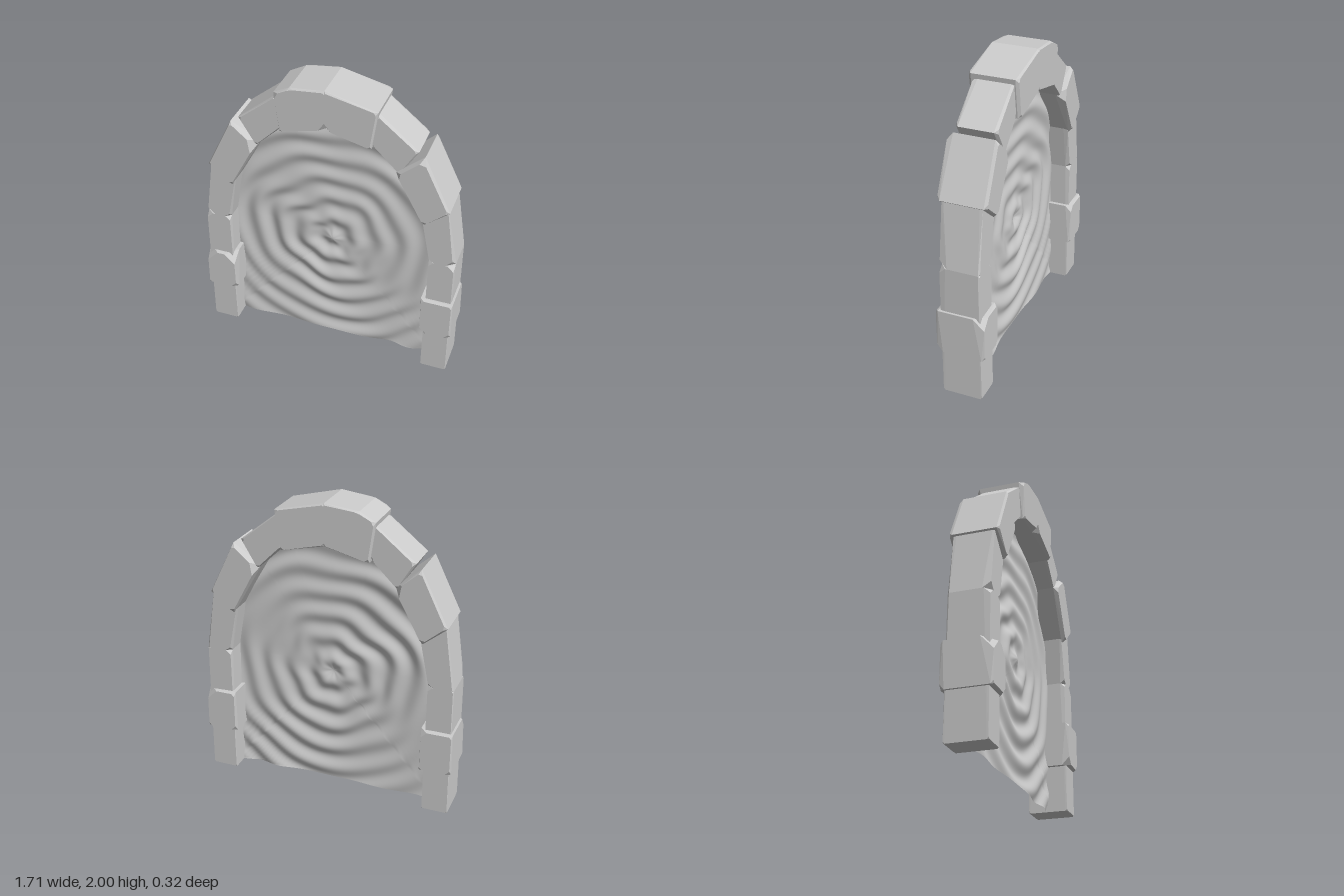
import * as THREE from 'three';
import { ConvexGeometry } from 'three/addons/geometries/ConvexGeometry.js';

const stoneMaterial = new THREE.MeshStandardMaterial({ color: 0xcccccc, flatShading: true });
const surfaceMaterial = new THREE.MeshStandardMaterial({ color: 0xcccccc, side: THREE.DoubleSide });

// Hewn stone: an outline given depth, bevelled towards a centre, each corner chipped off
// front and back are chip sizes per corner
function stone(name, outline, depth, { front = [], back = [], bevel = 0.01, centre } = {}) {
  const corners = outline.map(([x, y]) => new THREE.Vector2(x, y));
  const n = corners.length;
  const mid = centre ? new THREE.Vector2(...centre)
    : corners.reduce((sum, p) => sum.add(p), new THREE.Vector2()).divideScalar(n);
  const points = [];
  corners.forEach((p, i) => {
    for (const [side, chips] of [[1, front], [-1, back]]) {
      const chip = chips[i] ?? 0.015;
      points.push(new THREE.Vector3(p.x, p.y, side * (depth - chip)));
      for (const next of [corners[(i + 1) % n], corners[(i + n - 1) % n]]) {
        const cut = next.clone().sub(p).setLength(chip).add(p);
        const inward = mid.clone().sub(cut);
        cut.add(inward.setLength(Math.min(bevel, inward.length())));
        points.push(new THREE.Vector3(cut.x, cut.y, side * depth));
      }
    }
  });
  const mesh = new THREE.Mesh(new ConvexGeometry(points), stoneMaterial);
  mesh.name = name;
  return mesh;
}

// One side of the arch, s = 1 for the left (+x) side, -1 for the right
function archSide(s) {
  const group = new THREE.Group();
  group.name = s > 0 ? 'leftArchSide' : 'rightArchSide';
  const m = (pts) => pts.map(([x, y]) => [x * s, y]);
  const r = s < 0;
  const joint = [0.755 * s, 0.9];
  group.add(
    stone('lowerPillar', m([[0.84, 0], [0.84, 0.9], [0.67, 0.9], [0.67, 0]]), 0.13,
      { front: [0.01, 0.04, 0.03, 0.01], back: [0.01, 0.01, 0.03, 0.01], centre: joint, bevel: 0.005 }),
    stone('upperPillar', m([[0.84, 0.9], [0.77, 1.34], [0.61, 1.24], [0.67, 0.9]]), 0.13,
      { front: [0.05, 0.01, 0.01, 0.03], back: [0.01, 0.02, 0.03, 0.03], centre: joint }),
    stone('pillarBlock', m([[0.855, 0.305], [0.855, 0.6], [0.645, 0.6], [0.645, 0.305]]), 0.158,
      { front: r ? [0.015, 0.08, 0.075, 0.04] : [0.04, 0.015, 0.02, 0.05],
        back: r ? [0.03, 0.015, 0.04, 0.015] : [0.02, 0.07, 0.02, 0.03] }),
    stone('shoulderBlock', m([[0.785, 1.315], [0.61, 1.67], [0.44, 1.53], [0.63, 1.185]]), 0.158,
      { front: r ? [0.015, 0.015, 0.07, 0.02] : [0.02, 0.035, 0.03, 0.03],
        back: [0.02, 0.02, 0.06, 0.03], bevel: 0.014 }),
    stone('upperArchStone', m([[0.57, 1.69], [0.3, 1.905], [0.27, 1.69], [0.46, 1.51]]), 0.13,
      { front: [0.015, 0.03, 0.02, 0.02], back: [0.02, 0.015, 0.04, 0.02], bevel: 0.012 }),
    stone('keystoneHalf',
      m(r ? [[0, 2], [0.22, 1.975], [0.325, 1.92], [0.288, 1.665], [0, 1.73]]
        : [[0, 2], [0.325, 1.92], [0.288, 1.665], [0.12, 1.71], [0, 1.73]]), 0.158,
      { front: r ? [0.01, 0.02, 0.03, 0.015, 0.045] : [0.01, 0.015, 0.015, 0.03, 0.045],
        back: [0.01, 0.02, 0.02, 0.02, 0.015], centre: [0, 1.86] }),
  );
  return group;
}

// Rippled sheet filling the opening, its rim buried in the stones
function rippledSurface() {
  const half = [[0.73, 0], [0.74, 0.9], [0.69, 1.22], [0.53, 1.58], [0.3, 1.77], [0, 1.82]];
  const rimCorners = [...half, ...half.slice(0, -1).reverse().map(([x, y]) => [-x, y])];
  const rim = [];
  const perEdge = 16;
  rimCorners.forEach(([x, y], i) => {
    const [nx, ny] = rimCorners[(i + 1) % rimCorners.length];
    const steps = y === 0 && ny === 0 ? perEdge * 3 : perEdge;
    for (let k = 0; k < steps; k++) rim.push([x + (nx - x) * k / steps, y + (ny - y) * k / steps]);
  });

  const cy = 0.82, rings = 84, n = rim.length;
  const height = (x, y) => {
    const dx = x, dy = y - cy, a = Math.atan2(dy, dx), d = Math.hypot(dx, dy * 1.06);
    const wobble = Math.min(d * 3, 1) * (0.016 * Math.sin(3 * a + 1 + d * 2) + 0.012 * Math.sin(7 * a - d * 5)
      + 0.008 * Math.sin(11 * x + 9 * y));
    const strength = 0.010 + 0.003 * Math.sin(4 * x + 3 * y);
    return strength * Math.cos((d + wobble) * Math.PI * 2 / 0.172);
  };
  const positions = [0, cy, height(0, cy)];
  const index = [];
  for (let i = 1; i <= rings; i++) {
    const t = i / rings;
    for (const [rx, ry] of rim) {
      const x = rx * t, y = cy + (ry - cy) * t;
      positions.push(x, y, height(x, y));
    }
  }
  for (let j = 0; j < n; j++) {
    const k = (j + 1) % n;
    index.push(0, 1 + j, 1 + k);
    for (let i = 0; i < rings - 1; i++) {
      const a = 1 + i * n + j, b = 1 + i * n + k;
      index.push(a, a + n, b + n, a, b + n, b);
    }
  }
  const geometry = new THREE.BufferGeometry();
  geometry.setAttribute('position', new THREE.Float32BufferAttribute(positions, 3));
  geometry.setIndex(index);
  geometry.computeVertexNormals();
  const mesh = new THREE.Mesh(geometry, surfaceMaterial);
  mesh.name = 'rippledSurface';
  return mesh;
}

export function createModel() {
  const model = new THREE.Group();
  model.name = 'stonePortal';
  model.add(archSide(1), archSide(-1), rippledSurface());
  return model;
}
